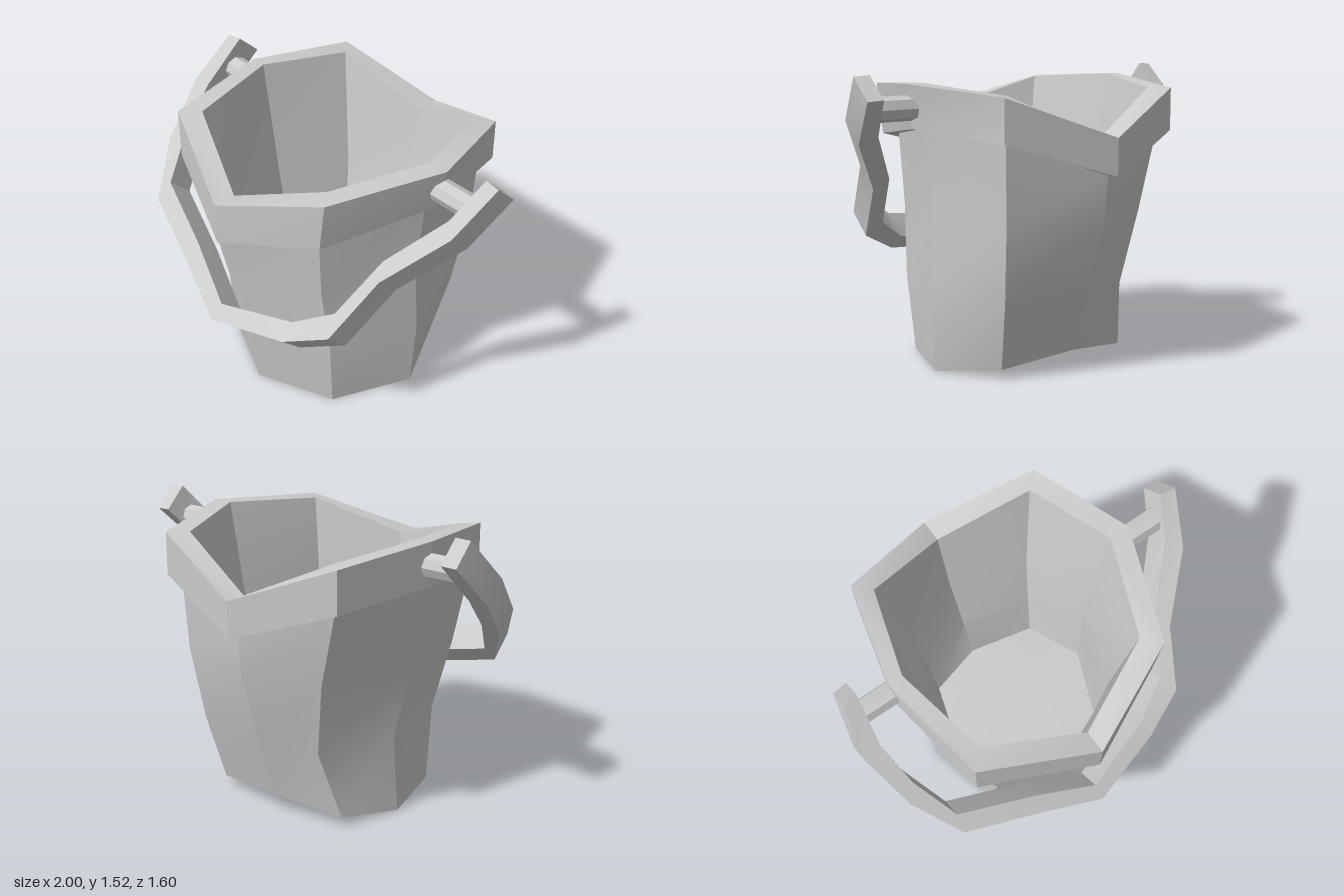
import * as THREE from 'three';
import { toCreasedNormals } from 'three/addons/utils/BufferGeometryUtils.js';

// Skin closed rings of points; a ring collapsed to its centre forms a cap.
function loft(rings, crease) {
  const centre = ring => {
    const c = [0, 1, 2].map(k => ring.reduce((s, p) => s + p[k], 0) / ring.length);
    return ring.map(() => c);
  };
  const all = [centre(rings[0]), ...rings, centre(rings[rings.length - 1])];
  const pos = [];
  for (let i = 0; i < all.length - 1; i++) {
    const n = all[i].length;
    for (let j = 0; j < n; j++) {
      const a = all[i][j], b = all[i][(j + 1) % n];
      const c = all[i + 1][(j + 1) % n], d = all[i + 1][j];
      if (c !== d) pos.push(...a, ...c, ...d);
      if (a !== b) pos.push(...a, ...b, ...c);
    }
  }
  const geo = new THREE.BufferGeometry();
  geo.setAttribute('position', new THREE.Float32BufferAttribute(pos, 3));
  return toCreasedNormals(geo, crease);
}

// Eight-sided ring. x runs round from the -x side: side, two front corners, side, two back corners;
// z and y run from front to back.
function octagon([x0, x1, x2, x3, x4, x5], z, y) {
  const ys = Array.isArray(y) ? y : [y, y, y, y, y];
  const mid = -0.05;
  return [[mid, 0], [x2, 1], [x3, 2], [x4, 3], [mid, 4], [x5, 3], [x0, 2], [x1, 1]]
    .map(([x, k]) => [x, ys[k], z[k]]);
}

export function createModel() {
  const group = new THREE.Group();
  const mat = new THREE.MeshStandardMaterial({ color: 0xcccccc });
  const flat = new THREE.MeshStandardMaterial({ color: 0xcccccc, flatShading: true });
  const add = (name, geo, material = mat) => {
    const mesh = new THREE.Mesh(geo, material);
    mesh.name = name;
    group.add(mesh);
    return mesh;
  };

  // Bucket: up the outside, over the thick dipping rim, down the inside to the floor
  const under = [1.05, 1.17, 1.25, 1.21, 1.03];
  const top = [1.275, 1.44, 1.475, 1.43, 1.22];
  const rimZ = [0.73, 0.5, -0.08, -0.63, -0.8];
  add('bucket', loft([
    octagon([-0.55, -0.44, 0.36, 0.53, 0.36, -0.44], [0.51, 0.34, -0.08, -0.41, -0.49], [0, 0, 0, 0.05, 0.1]),
    octagon([-0.52, -0.44, 0.385, 0.56, 0.41, -0.36], [0.565, 0.38, -0.08, -0.5, -0.585], 0.41),
    octagon([-0.615, -0.53, 0.365, 0.53, 0.45, -0.43], [0.62, 0.42, -0.08, -0.56, -0.71], 0.8),
    octagon([-0.67, -0.6, 0.38, 0.58, 0.47, -0.53], [0.66, 0.445, -0.08, -0.58, -0.73], under),
    octagon([-0.72, -0.625, 0.445, 0.655, 0.52, -0.58], rimZ, under),
    octagon([-0.72, -0.625, 0.48, 0.7, 0.52, -0.58], rimZ, top),
    octagon([-0.64, -0.54, 0.4, 0.59, 0.435, -0.5], [0.61, 0.41, -0.08, -0.545, -0.68], top),
    octagon([-0.53, -0.44, 0.31, 0.46, 0.37, -0.4], [0.54, 0.35, -0.08, -0.48, -0.61], 0.8),
    octagon([-0.45, -0.38, 0.32, 0.47, 0.34, -0.35], [0.48, 0.31, -0.08, -0.42, -0.5], 0.41),
    octagon([-0.43, -0.37, 0.31, 0.45, 0.31, -0.34], [0.43, 0.28, -0.07, -0.36, -0.43], [0.1, 0.1, 0.1, 0.12, 0.15]),
  ], 0.4));

  // Handle: outer and inner upper edges, swept down-and-back to give the square bar
  const outer = [
    [-0.95, 1.52, -0.1], [-1, 1.3, 0.11], [-0.925, 1.07, 0.36], [-0.77, 0.845, 0.58],
    [-0.4, 0.725, 0.69], [-0.05, 0.585, 0.8], [0.36, 0.635, 0.68], [0.59, 0.745, 0.58],
    [0.69, 1.03, 0.345], [0.92, 1.295, 0.11], [1, 1.52, -0.1],
  ];
  const inner = [
    [-0.87, 1.525, -0.11], [-0.9, 1.31, 0.1], [-0.86, 1.13, 0.29], [-0.755, 0.925, 0.5],
    [-0.37, 0.8, 0.62], [-0.05, 0.65, 0.73], [0.35, 0.71, 0.6], [0.54, 0.825, 0.49],
    [0.64, 1.09, 0.27], [0.845, 1.335, 0.05], [0.915, 1.525, -0.11],
  ];
  const lower = ([x, y, z]) => [x, y - 0.112, z - 0.118];
  add('handle', loft(outer.map((o, i) => [lower(o), lower(inner[i]), inner[i], o]), 0.5));

  // Pegs joining the handle to the rim
  for (const [name, x0, x1] of [['rightPeg', -0.92, -0.67], ['leftPeg', 0.62, 0.92]]) {
    const peg = add(name, new THREE.CylinderGeometry(0.063, 0.063, x1 - x0, 8), flat);
    peg.rotation.z = Math.PI / 2;
    peg.position.set((x0 + x1) / 2, 1.355, -0.08);
  }
  return group;
}
